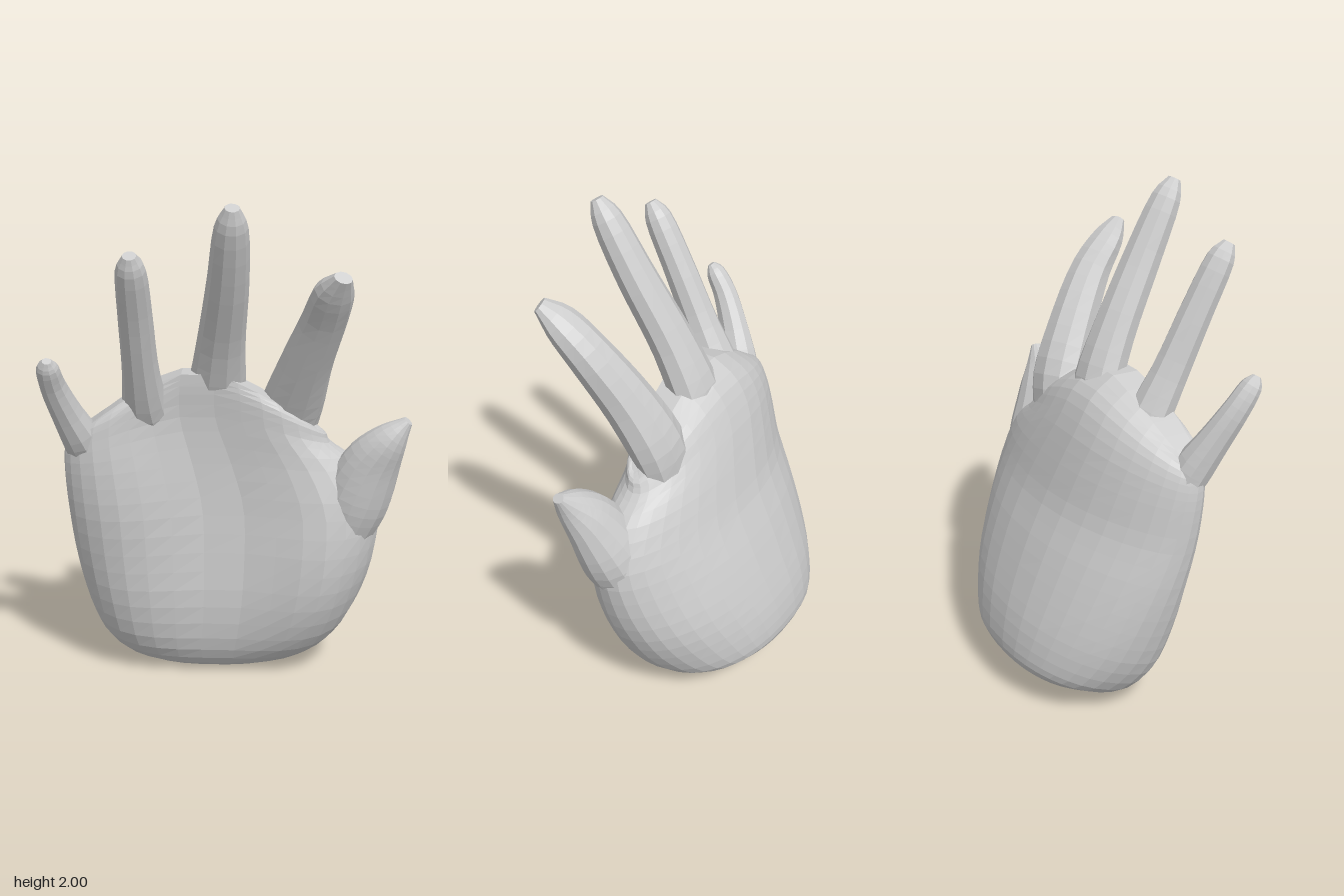
import * as THREE from 'three';

const V = (x, y, z) => new THREE.Vector3(x, y, z);
const lerp = THREE.MathUtils.lerp;
const material = new THREE.MeshStandardMaterial({ color: 0xcccccc, flatShading: true });

// Skin a stack of closed rings (each running from +x towards +z) and cap both
// ends with strips across, which also suits crescent-shaped rings.
function loft(name, rings) {
  const n = rings[0].length, top = (rings.length - 1) * n;
  const pos = rings.flatMap(r => r.flatMap(p => p.toArray()));
  const index = [];
  for (let i = 0; i < top; i += n) {
    for (let j = 0; j < n; j++) {
      const a = i + j, b = i + (j + 1) % n;
      index.push(a, a + n, b, b, a + n, b + n);
    }
  }
  for (let j = 0; j < n / 2; j++) {
    const a = j, b = j + 1, c = n - j - 1, d = (n - j) % n;
    index.push(a, b, c, a, c, d);
    index.push(top + a, top + c, top + b, top + a, top + d, top + c);
  }
  const g = new THREE.BufferGeometry();
  g.setAttribute('position', new THREE.Float32BufferAttribute(pos, 3));
  g.setIndex(index);
  g.computeVertexNormals();
  const mesh = new THREE.Mesh(g, material);
  mesh.name = name;
  return mesh;
}

// Smoothly resample rows of numbers, three columns at a time.
function resample(rows, count) {
  const curves = [];
  for (let c = 0; c < rows[0].length; c += 3) {
    curves.push(new THREE.CatmullRomCurve3(
      rows.map(r => V(r[c], r[c + 1], r[c + 2] ?? 0)), false, 'catmullrom', 0.5));
  }
  return Array.from({ length: count + 1 }, (_, i) =>
    curves.flatMap(c => c.getPoint(i / count).toArray()));
}

// Palm: tilted bowed sections, from the slanted wrist cut up to the knuckles.
// xRight, xLeft, yBack, zBack, yFront, zFront, zRightEdge, zLeftEdge,
// knuckle arch, pad height on the right and left of the palm's hollow
function palm() {
  const sections = [
    [-0.39, 0.24, 0.155, -0.435, 0.00, -0.05, -0.24, -0.24, 0, 0, 0],
    [-0.49, 0.37, 0.21, -0.45, 0.025, 0.04, -0.18, -0.18, 0, 0, 0],
    [-0.565, 0.475, 0.34, -0.43, 0.14, 0.11, -0.11, -0.11, 0, 0.02, 0.04],
    [-0.61, 0.555, 0.48, -0.385, 0.33, 0.135, -0.05, -0.06, 0, 0.04, 0.085],
    [-0.64, 0.60, 0.65, -0.32, 0.54, 0.125, 0.01, -0.01, 0, 0.06, 0.10],
    [-0.655, 0.605, 0.81, -0.25, 0.75, 0.11, 0.07, 0.02, 0, 0.08, 0.08],
    [-0.66, 0.52, 0.94, -0.20, 0.91, 0.105, 0.10, 0.02, 0.03, 0.08, 0.05],
    [-0.655, 0.41, 1.01, -0.145, 1.00, 0.11, 0.115, 0.02, 0.12, 0.065, 0.04],
    [-0.64, 0.385, 1.05, -0.08, 1.05, 0.125, 0.125, 0.03, 0.20, 0.045, 0.03],
    [-0.60, 0.35, 1.07, 0.02, 1.07, 0.13, 0.13, 0.05, 0.25, 0.02, 0.01],
  ];
  const sides = 34;
  const round = s => Math.sign(s) * Math.abs(s) ** 0.85;
  const rings = resample(sections, 24).map(
    ([xr, xl, yb, zb, yf, zf, er, el, arch, padR, padL]) =>
      Array.from({ length: sides }, (_, j) => {
        const t = j / sides * Math.PI * 2;
        const u = round(Math.cos(t)), v = round(Math.sin(t));
        const mid = (zb + zf) / 2;
        const bow = ((u > 0 ? el : er) - mid) * u * u;
        const pad = (u > 0 ? padL : padR) * Math.max(v, 0) * 4 * u * u * (1 - u * u);
        return V(lerp(xr, xl, (u + 1) / 2),
          lerp(yb, yf, (v + 1) / 2) + (yf - yb) / (zf - zb) * bow
            + arch * (1 - Math.abs(u) ** 1.6),
          mid + bow + pad + v * (zf - zb) / 2);
      }));
  return loft('palm', rings);
}

// Finger: oval sections square to a curved centre line.
// rows: x, y, z, half width, half depth
function finger(name, rows, sides = 10) {
  const pts = resample(rows, 16);
  const rings = pts.map((p, i) => {
    const q = pts[Math.max(i - 1, 0)], r = pts[Math.min(i + 1, pts.length - 1)];
    const t = V(r[0] - q[0], r[1] - q[1], r[2] - q[2]).normalize();
    const a = V(1, 0, 0).addScaledVector(t, -t.x).normalize();
    const b = a.clone().cross(t);
    return Array.from({ length: sides }, (_, j) => {
      const ang = j / sides * Math.PI * 2;
      return V(p[0], p[1], p[2])
        .addScaledVector(a, Math.cos(ang) * p[3])
        .addScaledVector(b, Math.sin(ang) * p[4]);
    });
  });
  return loft(name, rings);
}

export function createModel() {
  const hand = new THREE.Group();
  hand.name = 'hand';
  hand.add(palm());
  hand.add(finger('littleFinger', [
    [-0.565, 0.96, 0.09, 0.075, 0.06],
    [-0.585, 1.05, 0.135, 0.078, 0.075],
    [-0.63, 1.17, 0.195, 0.062, 0.064],
    [-0.667, 1.29, 0.26, 0.052, 0.052],
    [-0.677, 1.375, 0.315, 0.044, 0.04],
    [-0.675, 1.41, 0.34, 0.018, 0.016],
  ]));
  hand.add(finger('ringFinger', [
    [-0.31, 1.05, 0.03, 0.11, 0.06],
    [-0.33, 1.16, 0.085, 0.095, 0.085],
    [-0.34, 1.35, 0.185, 0.072, 0.076],
    [-0.345, 1.57, 0.29, 0.066, 0.066],
    [-0.348, 1.755, 0.385, 0.058, 0.056],
    [-0.348, 1.82, 0.425, 0.026, 0.025],
  ]));
  hand.add(finger('middleFinger', [
    [-0.07, 1.12, -0.01, 0.13, 0.06],
    [-0.05, 1.25, 0.035, 0.115, 0.09],
    [-0.03, 1.45, 0.125, 0.094, 0.086],
    [0.00, 1.70, 0.26, 0.08, 0.078],
    [0.015, 1.91, 0.37, 0.064, 0.062],
    [0.02, 1.99, 0.415, 0.028, 0.026],
  ]));
  hand.add(finger('indexFinger', [
    [0.21, 1.01, -0.03, 0.12, 0.07],
    [0.25, 1.17, 0.015, 0.125, 0.10],
    [0.30, 1.36, 0.11, 0.105, 0.10],
    [0.36, 1.55, 0.225, 0.09, 0.085],
    [0.39, 1.67, 0.325, 0.078, 0.062],
    [0.42, 1.74, 0.395, 0.036, 0.026],
  ]));
  hand.add(finger('thumb', [
    [0.45, 0.58, 0.02, 0.10, 0.11],
    [0.505, 0.77, 0.05, 0.14, 0.13],
    [0.565, 0.94, 0.095, 0.12, 0.10],
    [0.63, 1.05, 0.13, 0.078, 0.07],
    [0.70, 1.135, 0.145, 0.02, 0.024],
  ], 14));
  return hand;
}
